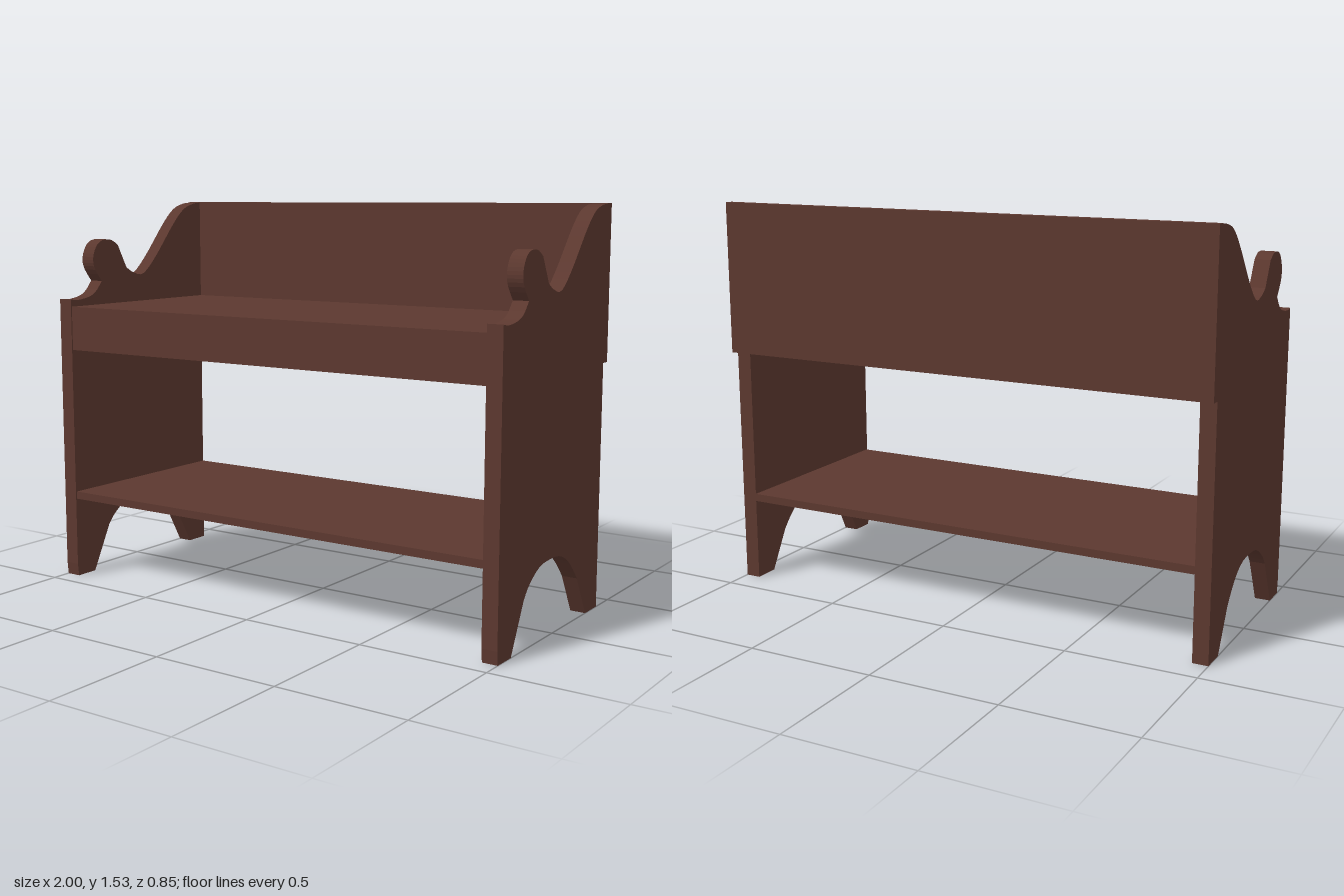
import * as THREE from 'three';

const wood = new THREE.MeshStandardMaterial({ color: 0x5c382f });
wood.name = 'dark brown wood';

const WIDTH = 2, THICK = 0.06, INNER = WIDTH - 2 * THICK;
const FRONT = 0.425, BACK = -0.39;

const toPoints = (list) => list.map(([z, y]) => new THREE.Vector2(z, y));

// End board outline (z, y): arched feet, scrolled top with a round knob
function endBoardShape() {
  const s = new THREE.Shape();
  s.moveTo(BACK, 0);
  s.lineTo(-0.29, 0);
  s.lineTo(-0.205, 0.155);
  s.splineThru(toPoints([[-0.16, 0.205], [-0.105, 0.25], [-0.03, 0.278], [0.08, 0.278], [0.14, 0.26], [0.2, 0.22], [0.235, 0.18]]));
  s.lineTo(0.325, 0);
  s.lineTo(FRONT - 0.005, 0);
  s.lineTo(FRONT, 0.05);
  s.lineTo(FRONT, 1.145);
  s.splineThru(toPoints([[0.385, 1.14], [0.32, 1.15], [0.28, 1.17], [0.245, 1.21]]));
  s.splineThru(toPoints([[0.285, 1.265], [0.291, 1.31], [0.27, 1.355], [0.235, 1.377], [0.185, 1.377], [0.145, 1.355]]));
  s.lineTo(0.095, 1.26);
  s.splineThru(toPoints([[0.05, 1.236], [-0.01, 1.231], [-0.09, 1.3], [-0.21, 1.438], [-0.28, 1.5], [-0.34, 1.522], [BACK, 1.528]]));
  s.closePath();
  return s;
}

export function createModel() {
  const model = new THREE.Group();
  model.name = 'bench';

  // Two matching end boards
  const endGeometry = new THREE.ExtrudeGeometry(endBoardShape(), { depth: THICK, bevelEnabled: false, curveSegments: 3 });
  endGeometry.rotateY(-Math.PI / 2);
  for (const [name, x] of [['leftEndBoard', WIDTH / 2], ['rightEndBoard', -WIDTH / 2 + THICK]]) {
    const board = new THREE.Mesh(endGeometry, wood);
    board.name = name;
    board.position.x = x;
    model.add(board);
  }

  // Straight planks given by width and their y and z limits
  const plank = (name, width, y0, y1, z0, z1) => {
    const mesh = new THREE.Mesh(new THREE.BoxGeometry(width, y1 - y0, z1 - z0), wood);
    mesh.name = name;
    mesh.position.set(0, (y0 + y1) / 2, (z0 + z1) / 2);
    model.add(mesh);
  };
  plank('backPanel', WIDTH, 0.94, 1.53, -0.425, BACK);
  plank('seat', INNER, 1.08, 1.115, BACK, 0.42);
  plank('frontApron', INNER, 0.94, 1.08, 0.385, 0.42);
  plank('lowerShelf', INNER, 0.325, 0.355, BACK, 0.42);

  return model;
}
